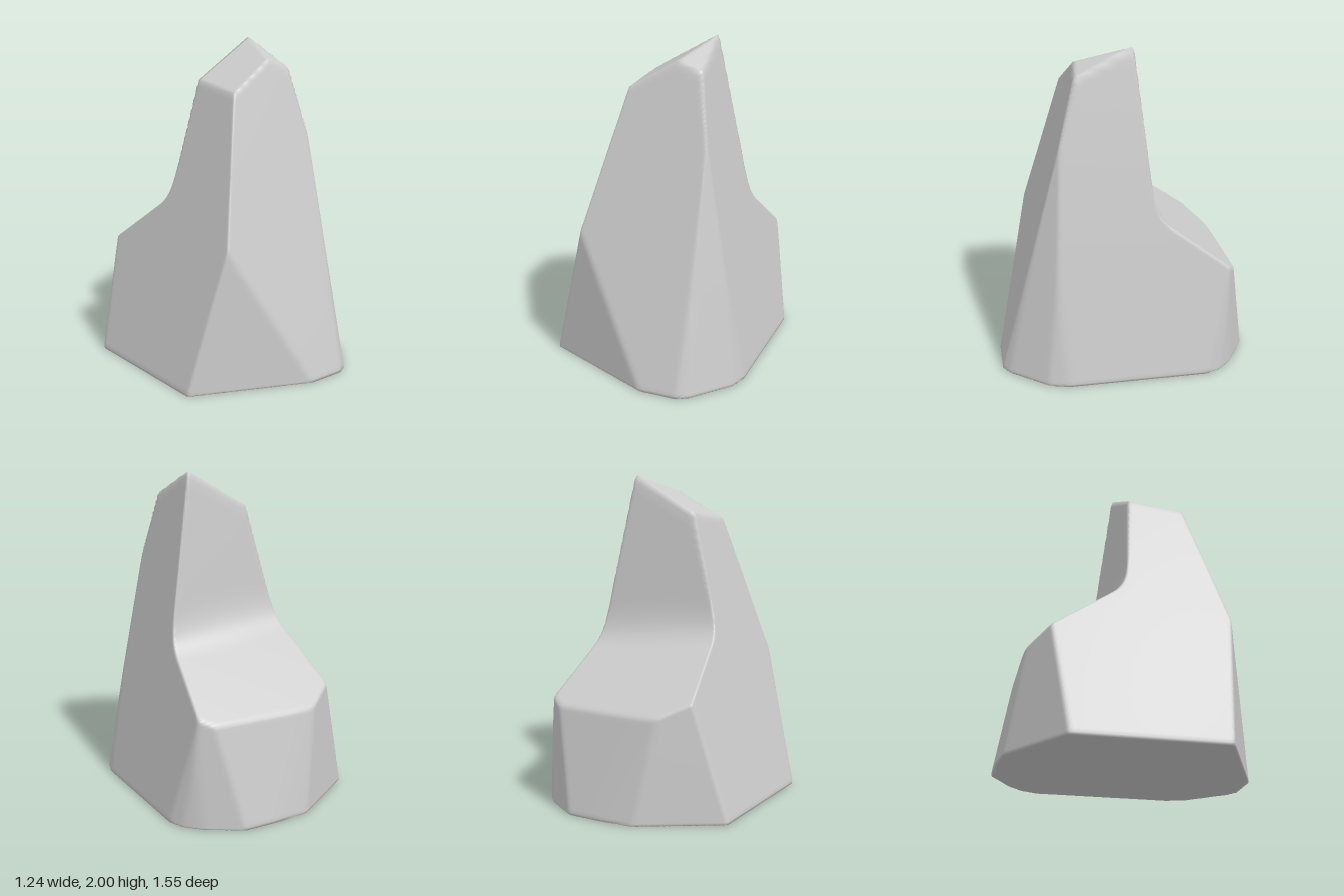
import * as THREE from 'three';
import { mergeVertices } from 'three/addons/utils/BufferGeometryUtils.js';

// A point inside the rock from which its whole surface can be seen
const CORE = new THREE.Vector3(0.05, 0.5, 0.1);

// Plane through three points, turned to face away from the core
function facet(a, b, c) {
  const plane = new THREE.Plane().setFromCoplanarPoints(
    new THREE.Vector3(...a), new THREE.Vector3(...b), new THREE.Vector3(...c));
  return plane.distanceToPoint(CORE) > 0 ? plane.negate() : plane;
}

// Outer facets of the rock
const facets = [
  facet([0, 0, 0], [1, 0, 0], [0, 0, 1]), // base
  facet([0, 0, 0.78], [1, 0, 0.78], [0, 1.9, 0.28]), // front
  facet([-0.622, 0, 0], [-0.622, 0, 1], [-0.154, 1.75, 0]), // right side
  facet([0.621, 0, 0], [0.621, 0, 1], [0.262, 2, 0]), // left side
  facet([-0.6, 0, 0.47], [0.05, 0, 0.762], [-0.388, 0.86, 0.553]), // front right chamfer
  facet([0.396, 0, 0.74], [0.585, 0, 0.515], [0.35, 1.4, 0.422]), // front left chamfer
  facet([0.33, 0, 0.778], [0.396, 0, 0.74], [0.37, 0.9, 0.54]), // front left foot, front
  facet([0.62, 0, 0.4], [0.585, 0, 0.515], [0.46, 0.9, 0.46]), // front left foot, side
  facet([0.26, 2, -0.05], [-0.155, 1.765, -0.04], [0.14, 1.9, 0.275]), // sloping top
  facet([0.265, 2, -0.05], [0.14, 1.9, 0.275], [0.285, 1.84, 0.29]), // tip chamfer
  facet([0, 0, -0.781], [1, 0, -0.781], [0, 0.63, -0.667]), // back
  facet([-0.16, 0, -0.757], [0.066, 0, -0.782], [-0.25, 0.64, -0.66]), // back, right part
  facet([-0.16, 0, -0.757], [-0.6, 0, -0.467], [-0.26, 0.64, -0.66]), // back right chamfer
  facet([0.32, 0, -0.755], [0.5, 0, -0.645], [0.42, 0.64, -0.668]), // back left chamfer
  facet([0.5, 0, -0.643], [0.58, 0, -0.56], [0.5, 0.65, -0.63]), // back left corner
  facet([0.62, 0, -0.466], [0.58, 0, -0.56], [0.5, 0.65, -0.625]), // left side, rear part
];

// The two faces that meet in the hollow at the back
const spireBack = facet([0.26, 2, -0.06], [-0.16, 1.77, -0.035], [0.4, 1.1, -0.155]);
const ledge = facet([0.4, 0.97, -0.21], [-0.4, 0.97, -0.2], [0, 0.63, -0.66]);

// Distance along a ray from the core to a facet
function reach(plane, dir) {
  const facing = plane.normal.dot(dir);
  return facing > 0.01 ? Math.min(-plane.distanceToPoint(CORE) / facing, 6) : 6;
}

function softMin(a, b, k) {
  const h = Math.max(k - Math.abs(a - b), 0) / k;
  return Math.min(a, b) - h * h * k * 0.25;
}

export function createModel() {
  const group = new THREE.Group();
  group.name = 'rockFormation';

  // Dense box whose vertices are pushed out along rays to the facets
  let geometry = new THREE.BoxGeometry(1.23, 2, 1.55, 72, 110, 90);
  geometry.deleteAttribute('normal');
  geometry.deleteAttribute('uv');
  geometry = mergeVertices(geometry);

  const pos = geometry.attributes.position;
  const dir = new THREE.Vector3();
  for (let i = 0; i < pos.count; i++) {
    dir.fromBufferAttribute(pos, i);
    dir.y += 0.5; // sit the box around the core
    dir.x -= 0.05;
    dir.z -= 0.1;
    dir.normalize();
    // Rounded hollow, then slightly worn outer edges
    let r = -softMin(-reach(spireBack, dir), -reach(ledge, dir), 0.18);
    for (const plane of facets) r = softMin(r, reach(plane, dir), 0.012);
    dir.multiplyScalar(r).add(CORE);
    pos.setXYZ(i, dir.x, dir.y, dir.z);
  }
  geometry.computeVertexNormals();

  const rock = new THREE.Mesh(geometry, new THREE.MeshStandardMaterial({ color: 0xcccccc }));
  rock.name = 'rock';
  group.add(rock);
  return group;
}
